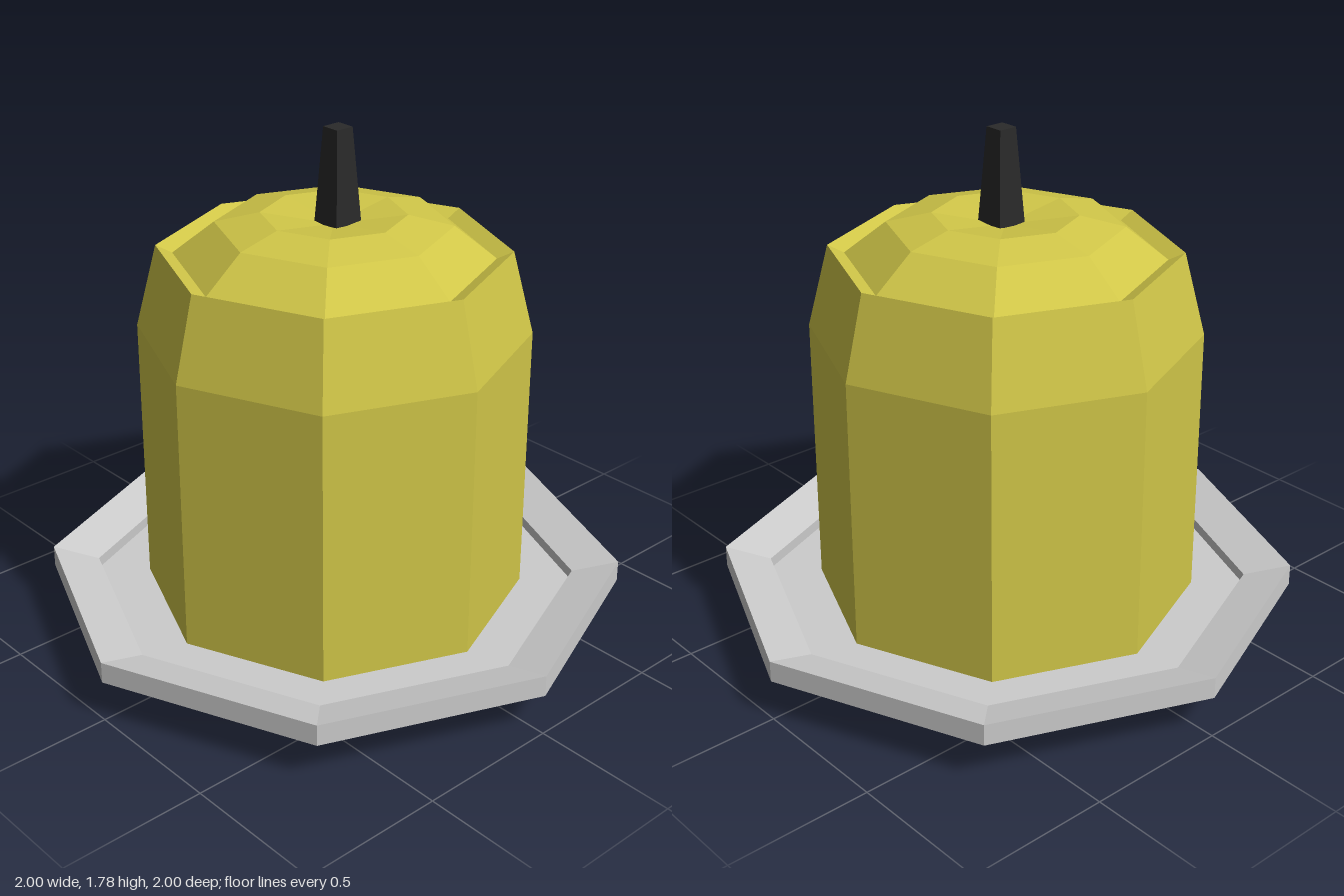
import * as THREE from 'three';

const SIDES = 8;

function material(name, color) {
  const m = new THREE.MeshStandardMaterial({ color, flatShading: true });
  m.name = name;
  return m;
}

// Octagonal turned part from a profile of [radius, height], listed bottom to top
function turned(name, profile, mat) {
  const points = profile.map(([r, y]) => new THREE.Vector2(r, y));
  const mesh = new THREE.Mesh(new THREE.LatheGeometry(points, SIDES), mat);
  mesh.name = name;
  return mesh;
}

export function createModel() {
  const group = new THREE.Group();
  group.name = 'candleOnPlate';

  const ceramic = material('plateGrey', 0xcccccc);
  const wax = material('waxYellow', 0xd0c648);
  const char = material('wickBlack', 0x2a2a2a);

  // Plate: sloping underside, upright edge, rim falling inward to a sunken floor
  group.add(turned('plate', [
    [0, 0], [0.6, 0], [0.8, 0.08], [1, 0.145], [1, 0.22],
    [0.84, 0.178], [0.84, 0.14], [0, 0.14],
  ], ceramic));

  // Candle body with tapered shoulder and lip sloping inward
  group.add(turned('candleBody', [
    [0.658, 0.14], [0.658, 1.09], [0.585, 1.375], [0.53, 1.35],
  ], wax));

  // Domed top with a shallow dish around the wick
  group.add(turned('candleTop', [
    [0.53, 1.35], [0.39, 1.46], [0.24, 1.495], [0, 1.46],
  ], wax));

  // Square tapered wick
  const wickGeometry = new THREE.CylinderGeometry(0.033 * Math.SQRT2, 0.054 * Math.SQRT2, 0.325, 4);
  wickGeometry.rotateY(Math.PI / 4);
  const wick = new THREE.Mesh(wickGeometry, char);
  wick.name = 'wick';
  wick.position.set(0.009, 1.6225, 0.009);
  group.add(wick);

  return group;
}
